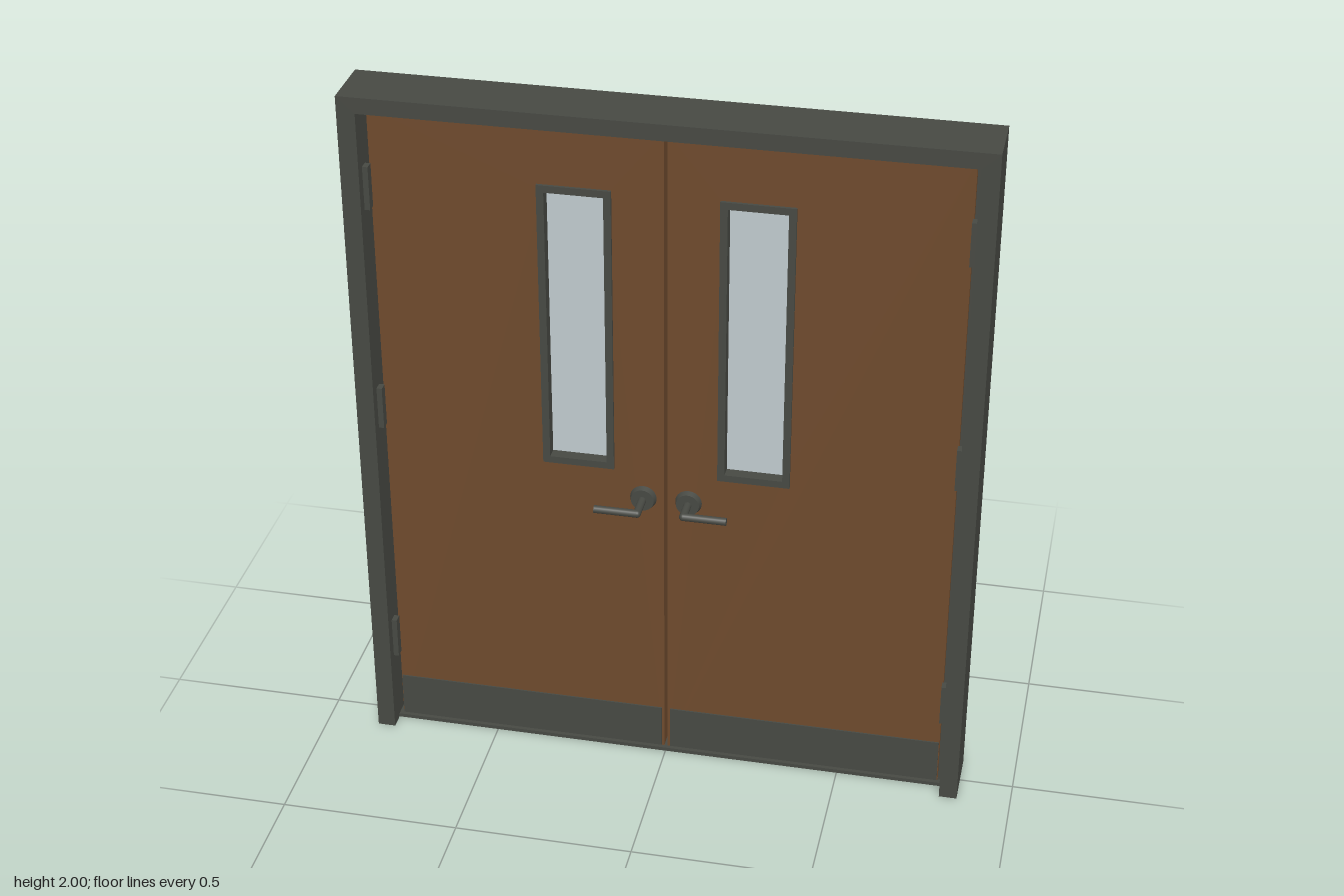
import * as THREE from 'three';

const wood = new THREE.MeshStandardMaterial({ name: 'brown wood', color: 0x6e4a2d });
const metal = new THREE.MeshStandardMaterial({ name: 'dark metal', color: 0x474943 });
const glass = new THREE.MeshStandardMaterial({ name: 'pale glass', color: 0xc0cbce });

const DOOR_HALF = 0.03; // half the door thickness
const WINDOW = [0.143, 0.94, 0.341, 1.777]; // x0, y0, x1, y1

function add(parent, name, geometry, material, x = 0, y = 0, z = 0) {
  const mesh = new THREE.Mesh(geometry, material);
  mesh.name = name;
  mesh.position.set(x, y, z);
  parent.add(mesh);
  return mesh;
}

// Box given by its extents
function block(parent, name, material, x0, x1, y0, y1, z0, z1) {
  return add(parent, name, new THREE.BoxGeometry(x1 - x0, y1 - y0, z1 - z0), material,
    (x0 + x1) / 2, (y0 + y1) / 2, (z0 + z1) / 2);
}

function rectangle(Type, x0, y0, x1, y1) {
  return new Type([[x0, y0], [x1, y0], [x1, y1], [x0, y1]].map(p => new THREE.Vector2(...p)));
}

// Rectangular panel with a rectangular opening, centred on z = 0
function panelWithHole(outer, inner, half) {
  const shape = rectangle(THREE.Shape, ...outer);
  shape.holes.push(rectangle(THREE.Path, ...inner));
  return new THREE.ExtrudeGeometry(shape, { depth: 2 * half, bevelEnabled: false }).translate(0, 0, -half);
}

// Lever handle on one face; side is the door's x sign, face the z sign
function leverHandle(side, face, reach) {
  const handle = new THREE.Group();
  handle.name = 'leverHandle';
  const x = side * 0.063, y = 0.855, r = 0.011;
  const leverZ = reach - r;
  const rose = add(handle, 'rose', new THREE.CylinderGeometry(0.032, 0.037, 0.016, 32), metal,
    x, y, face * (DOOR_HALF + 0.008));
  rose.rotation.x = face * Math.PI / 2;
  const spindle = add(handle, 'spindle', new THREE.CylinderGeometry(r, r, leverZ - DOOR_HALF, 16), metal,
    x, y, face * (leverZ + DOOR_HALF) / 2);
  spindle.rotation.x = Math.PI / 2;
  add(handle, 'elbow', new THREE.SphereGeometry(r, 16, 12), metal, x, y, face * leverZ);
  const lever = add(handle, 'lever', new THREE.CylinderGeometry(r, r, 0.119, 16), metal,
    x + side * 0.0595, y, face * leverZ);
  lever.rotation.z = Math.PI / 2;
  return handle;
}

function doorLeaf(side) {
  const leaf = new THREE.Group();
  leaf.name = side > 0 ? 'leftDoor' : 'rightDoor';
  // Shape corners are ordered low to high on either side
  const span = (x0, y0, x1, y1) => side > 0 ? [x0, y0, x1, y1] : [-x1, y0, -x0, y1];
  const [wx0, wy0, wx1, wy1] = WINDOW;
  const t = 0.019;
  const opening = span(wx0 + t, wy0 + t, wx1 - t, wy1 - t);

  add(leaf, 'doorPanel', panelWithHole(span(0.005, 0.012, 0.788, 1.953), opening, DOOR_HALF), wood);
  add(leaf, 'windowFrame', panelWithHole(span(...WINDOW),
    span(wx0 + t + 0.001, wy0 + t + 0.001, wx1 - t - 0.001, wy1 - t - 0.001), DOOR_HALF + 0.008), metal);
  const [gx0, gy0, gx1, gy1] = opening;
  block(leaf, 'windowPane', glass, gx0, gx1, gy0, gy1, -0.004, 0.004);

  for (const face of [-1, 1]) {
    const [kx0, ky0, kx1, ky1] = span(0.012, 0.015, 0.786, 0.147);
    const z = face * (DOOR_HALF + 0.002);
    block(leaf, 'kickPlate', metal, kx0, kx1, ky0, ky1, z - 0.002, z + 0.002);
    leaf.add(leverHandle(side, face, side > 0 ? 0.115 : 0.125));
    // Hinges on the outer edge
    for (const y of [0.295, 1.065, 1.73]) {
      const [hx0, hy0, hx1, hy1] = span(0.785, y - 0.062, 0.802, y + 0.062);
      const hz = face * 0.043;
      block(leaf, 'hinge', metal, hx0, hx1, hy0, hy1, hz - 0.013, hz + 0.013);
    }
  }
  return leaf;
}

export function createModel() {
  const model = new THREE.Group();
  model.name = 'doubleDoor';

  // Surrounding frame: one upside-down U
  const outline = [[-0.85, 0], [-0.8, 0], [-0.8, 1.955], [0.8, 1.955], [0.8, 0], [0.85, 0], [0.85, 2], [-0.85, 2]];
  const frameShape = new THREE.Shape(outline.map(p => new THREE.Vector2(...p)));
  add(model, 'doorFrame', new THREE.ExtrudeGeometry(frameShape, { depth: 0.172, bevelEnabled: false }), metal, 0, 0, -0.086);

  // Seal on one jamb and low threshold
  block(model, 'jambSeal', metal, 0.789, 0.8, 0.01, 1.955, -0.025, 0.025);
  block(model, 'threshold', metal, -0.8, 0.8, 0, 0.011, -0.04, 0.04);

  model.add(doorLeaf(1), doorLeaf(-1));
  return model;
}
